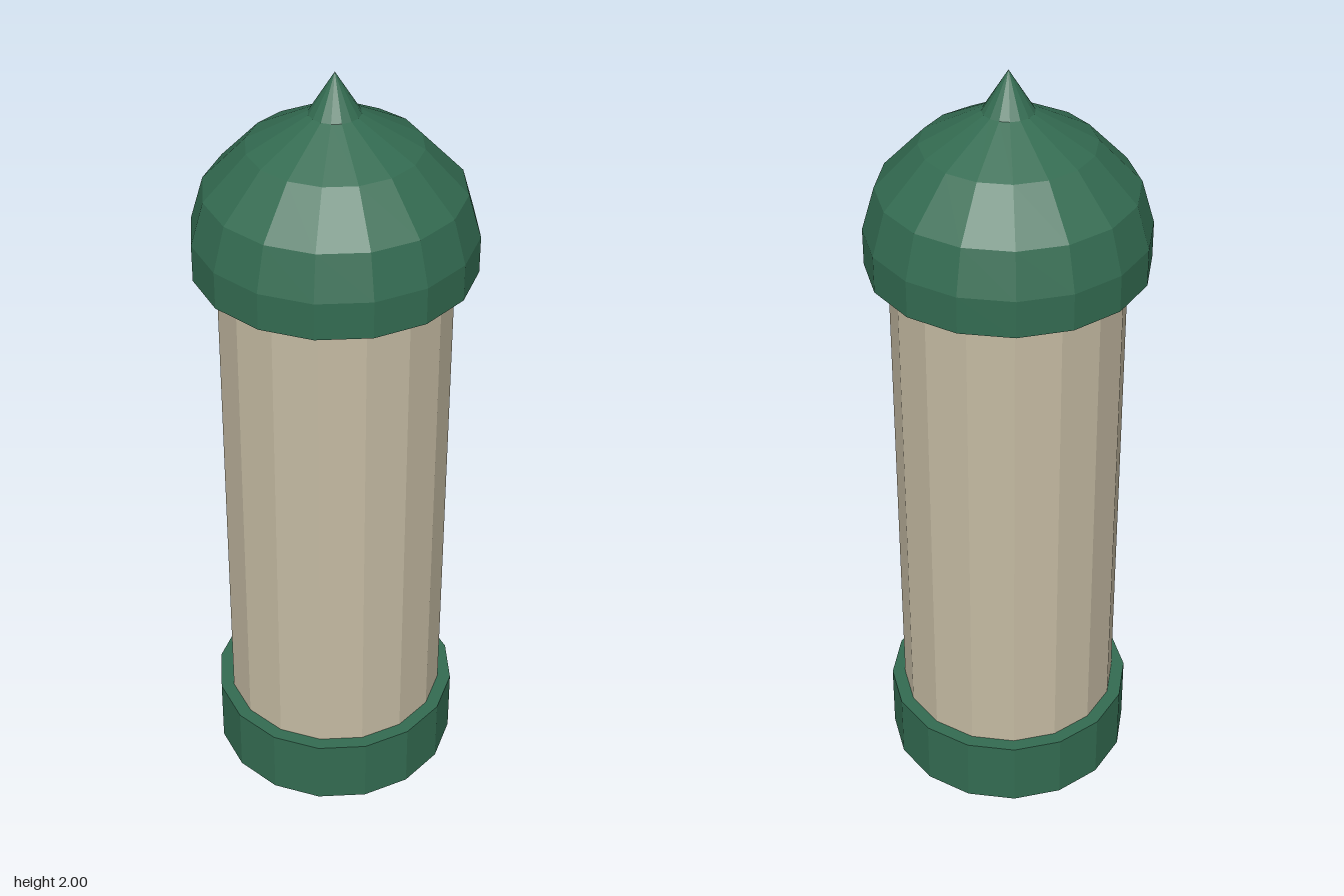
import * as THREE from 'three';

const SIDES = 16;

export function createModel() {
  const group = new THREE.Group();
  const green = new THREE.MeshStandardMaterial({ name: 'darkGreen', color: 0x336b51, flatShading: true });
  const stone = new THREE.MeshStandardMaterial({ name: 'warmStone', color: 0xc4baa2, flatShading: true });

  // Faceted solid of revolution from [radius, height] pairs, bottom to top
  const turned = (name, profile, material) => {
    const points = profile.map(([r, y]) => new THREE.Vector2(r, y));
    const mesh = new THREE.Mesh(new THREE.LatheGeometry(points, SIDES), material);
    mesh.name = name;
    group.add(mesh);
  };

  // Plinth ring at the foot
  turned('base', [[0, 0], [0.325, 0], [0.325, 0.185], [0, 0.185]], green);

  // Plain column shaft
  turned('column', [[0, 0.185], [0.29, 0.185], [0.29, 1.505], [0, 1.505]], stone);

  // Overhanging dome with a pointed finial
  turned('domeCap', [
    [0, 1.505], [0.347, 1.505], [0.347, 1.6], [0.315, 1.71],
    [0.21, 1.82], [0.0625, 1.9], [0, 2],
  ], green);

  return group;
}
